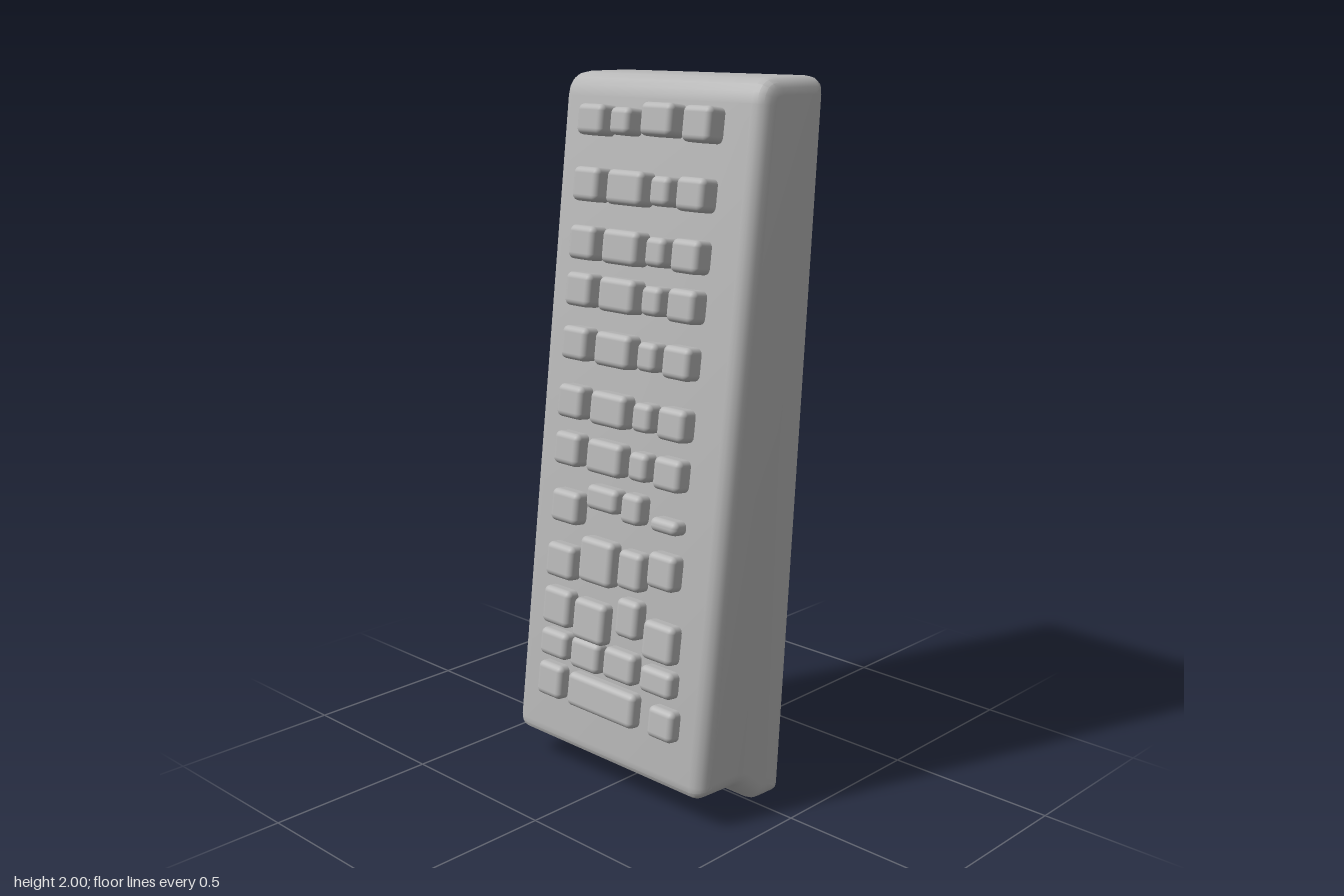
import * as THREE from 'three';
import { toCreasedNormals } from 'three/addons/utils/BufferGeometryUtils.js';
import { RoundedBoxGeometry } from 'three/addons/geometries/RoundedBoxGeometry.js';

const WIDTH = 0.75, BEVEL = 0.045;
const faceZ = (y) => 0.252 - 0.13 * y;      // sloping front face
const leanX = (y) => 0.005 - 0.0085 * y;    // slight sideways lean

// Closed outline with softened corners; each corner is [z, y, radius]
function roundedOutline(corners) {
  const shape = new THREE.Shape();
  const n = corners.length;
  corners.forEach(([z, y, r], i) => {
    const p = new THREE.Vector2(z, y);
    const toward = (c) => new THREE.Vector2(c[0], c[1]).sub(p).setLength(r).add(p);
    const a = toward(corners[(i + n - 1) % n]);
    const b = toward(corners[(i + 1) % n]);
    if (i === 0) shape.moveTo(a.x, a.y); else shape.lineTo(a.x, a.y);
    shape.quadraticCurveTo(p.x, p.y, b.x, b.y);
  });
  shape.closePath();
  return shape;
}

// Wedge-shaped case: side outline extruded across the width
function makeCase(material) {
  const outline = roundedOutline([
    [-0.105, 0, 0.03], [0.0, 0.004, 0.02], [0.075, 0.075, 0.02],
    [0.245, 0.085, 0.04], [-0.008, 2, 0.065], [-0.262, 2, 0.05],
  ]);
  const depth = WIDTH - 2 * BEVEL;
  let geo = new THREE.ExtrudeGeometry(outline, {
    depth, curveSegments: 4, bevelEnabled: true, bevelSegments: 4,
    bevelSize: BEVEL, bevelThickness: BEVEL, bevelOffset: -BEVEL,
  });
  geo.translate(0, 0, -depth / 2);
  geo.rotateY(-Math.PI / 2);
  const pos = geo.attributes.position;
  for (let i = 0; i < pos.count; i++) pos.setX(i, pos.getX(i) + leanX(pos.getY(i)));
  geo = toCreasedNormals(geo, 0.45);
  const mesh = new THREE.Mesh(geo, material);
  mesh.name = 'case';
  return mesh;
}

// Key rows, each key is [x, y, width, height]
function keyLayout() {
  const keys = [
    [-0.21, 1.87, 0.1, 0.085], [-0.095, 1.87, 0.075, 0.075],
    [0.04, 1.88, 0.115, 0.09], [0.185, 1.875, 0.1, 0.095],
  ];
  // regular rows
  for (const y of [1.695, 1.535, 1.405, 1.255, 1.09, 0.955]) {
    keys.push([-0.21, y, 0.1, 0.095], [-0.06, y, 0.135, 0.095],
      [0.073, y, 0.07, 0.08], [0.183, y, 0.1, 0.09]);
  }
  // irregular lower rows
  keys.push(
    [-0.2, 0.79, 0.11, 0.095], [-0.055, 0.84, 0.12, 0.07],
    [0.06, 0.835, 0.075, 0.085], [0.187, 0.815, 0.1, 0.04],
    [-0.205, 0.63, 0.11, 0.1], [-0.06, 0.66, 0.13, 0.13],
    [0.073, 0.665, 0.09, 0.11], [0.19, 0.69, 0.1, 0.1],
    [-0.205, 0.495, 0.11, 0.11], [-0.07, 0.485, 0.125, 0.12],
    [0.078, 0.53, 0.085, 0.11], [0.2, 0.495, 0.115, 0.11],
    [-0.205, 0.385, 0.11, 0.08], [-0.075, 0.385, 0.115, 0.09],
    [0.06, 0.39, 0.12, 0.09], [0.205, 0.385, 0.12, 0.075],
    [-0.21, 0.275, 0.1, 0.1], [0.0, 0.275, 0.265, 0.1], [0.235, 0.275, 0.095, 0.09],
  );
  return keys;
}

function makeKeys(material) {
  const group = new THREE.Group();
  group.name = 'keypad';
  for (const [x, y, w, h] of keyLayout()) {
    // keys stand a little prouder towards the top
    const rise = 0.036 + 0.013 * y;
    const key = new THREE.Mesh(new RoundedBoxGeometry(w, h, rise * 2, 3, 0.018), material);
    key.position.set(x, y, faceZ(y));
    key.rotation.x = -Math.atan(0.13);
    key.name = 'key';
    group.add(key);
  }
  return group;
}

export function createModel() {
  const grey = new THREE.MeshStandardMaterial({ color: 0xb8b8b8 });
  grey.name = 'plain grey';
  const model = new THREE.Group();
  model.name = 'remoteControl';
  model.add(makeCase(grey), makeKeys(grey));
  return model;
}
